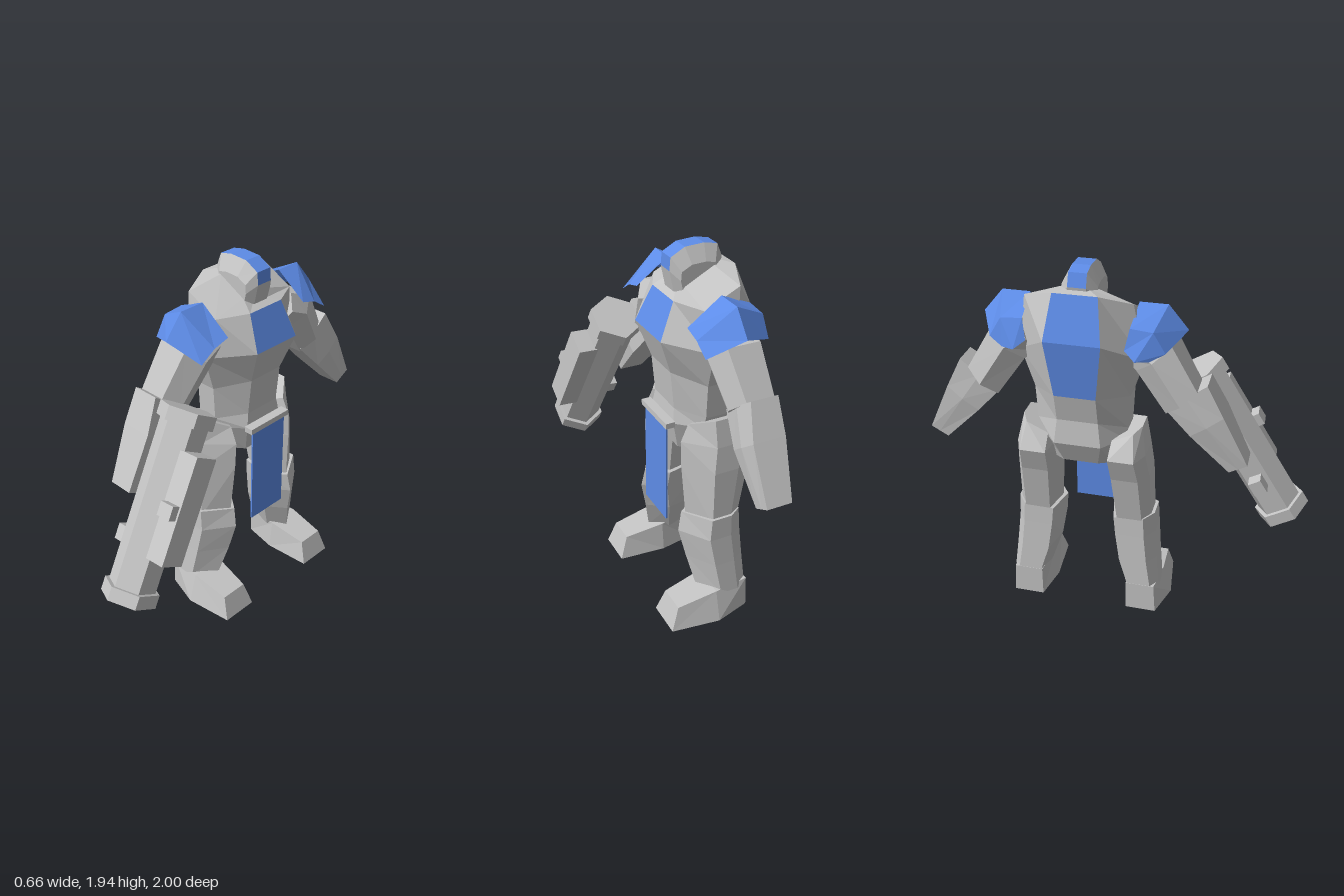
import * as THREE from 'three';

const grey = new THREE.MeshStandardMaterial({ color: 0xc4c4c4, flatShading: true });
grey.name = 'armour grey';
const blue = new THREE.MeshStandardMaterial({ color: 0x6090ee, flatShading: true, side: THREE.DoubleSide });
blue.name = 'trim blue';

// Skin a row of equal-length closed rings, cap both ends, and face it outwards.
// isBlue(ring, side) picks the quads that take the blue material.
function loft(name, rings, isBlue = () => false) {
  const tris = [[], []];
  const n = rings[0].length;
  for (let i = 0; i < rings.length - 1; i++) {
    for (let j = 0; j < n; j++) {
      const k = (j + 1) % n;
      const [a, b, c, d] = [rings[i][j], rings[i][k], rings[i + 1][k], rings[i + 1][j]];
      tris[isBlue(i, j) ? 1 : 0].push([a, b, c], [a, c, d]);
    }
  }
  const first = rings[0], last = rings[rings.length - 1];
  for (let j = 1; j < n - 1; j++) {
    tris[0].push([first[0], first[j + 1], first[j]], [last[0], last[j], last[j + 1]]);
  }
  const all = [...tris[0], ...tris[1]];
  let volume = 0;
  for (const [a, b, c] of all) {
    volume += new THREE.Vector3(...a).dot(new THREE.Vector3(...b).cross(new THREE.Vector3(...c)));
  }
  const pos = all.flatMap(([a, b, c]) => (volume > 0 ? [a, b, c] : [a, c, b])).flat();
  const geo = new THREE.BufferGeometry();
  geo.setAttribute('position', new THREE.Float32BufferAttribute(pos, 3));
  geo.computeVertexNormals();
  geo.addGroup(0, tris[0].length * 3, 0);
  if (tris[1].length) geo.addGroup(tris[0].length * 3, tris[1].length * 3, 1);
  const mesh = new THREE.Mesh(geo, [grey, blue]);
  mesh.name = name;
  return mesh;
}

function box(name, size, at, material = grey) {
  const mesh = new THREE.Mesh(new THREE.BoxGeometry(...size), material);
  mesh.name = name;
  mesh.position.set(...at);
  return mesh;
}

// Eight-sided torso ring: front, front side, back side and back corners as [x, y], with two half widths.
function torsoRing(f, sf, sb, b, hf, hs) {
  const half = [[...f, hf], [...sf, hs], [...sb, hs], [...b, hf]];
  return [...half, ...half.map(([x, y, z]) => [x, y, -z]).reverse()];
}

// Six-sided leg ring between back and front x and inner and outer z; tilt raises the outer side.
function legRing(s, y, back, front, inner, outer, tilt = 0) {
  const w = outer - inner, m = (back + front) / 2, d = (front - back) / 2;
  return [[front, 0.35], [m + d * 0.3, 1], [m - d * 0.5, 1], [back, 0.8], [back, 0.15], [m + d * 0.2, 0]]
    .map(([x, t]) => [x, y + tilt * (t - 0.5), s * (inner + w * t)]);
}

// Six-sided arm ring between an upper outer and a lower inner [y, z] point; bevel narrows the flats.
function armRing(s, [yo, zo], [yi, zi], back, front, bevel) {
  const w = front - back;
  return [[0, bevel], [0, 1 - bevel], [0.5, 1], [1, 1 - bevel], [1, bevel], [0.5, 0]]
    .map(([t, u]) => [back + w * u, yo + (yi - yo) * t, s * (zo + (zi - zo) * t)]);
}

// Shoulder plate: an open folded shell, columns running back to front.
function shoulderPlate(s) {
  const cols = [
    [[-0.28, 1.6, 0.24], [-0.31, 1.56, 0.295], [-0.28, 1.555, 0.36]],
    [[-0.25, 1.7, 0.26], [-0.25, 1.69, 0.37], [-0.25, 1.59, 0.43]],
    [[-0.09, 1.77, 0.27], [-0.09, 1.77, 0.41], [-0.09, 1.65, 0.51]],
    [[0.08, 1.645, 0.27], [0.08, 1.62, 0.36], [0.08, 1.565, 0.445]],
  ];
  const pos = [];
  for (let i = 0; i < 3; i++) {
    for (let j = 0; j < 2; j++) {
      const q = [cols[i][j], cols[i][j + 1], cols[i + 1][j + 1], cols[i + 1][j]].map(([x, y, z]) => [x, y, s * z]);
      const [a, b, c, d] = s > 0 ? q : [q[3], q[2], q[1], q[0]];
      pos.push(...a, ...b, ...c, ...a, ...c, ...d);
    }
  }
  const geo = new THREE.BufferGeometry();
  geo.setAttribute('position', new THREE.Float32BufferAttribute(pos, 3));
  geo.computeVertexNormals();
  const mesh = new THREE.Mesh(geo, blue);
  mesh.name = 'shoulderPlate';
  return mesh;
}

function limbs(s) {
  const g = new THREE.Group();
  g.name = s > 0 ? 'limbsRight' : 'limbsLeft';
  g.add(
    shoulderPlate(s),
    loft('upperArm', [
      armRing(s, [1.65, 0.3], [1.5, 0.22], -0.22, 0.02, 0.2),
      armRing(s, [1.6, 0.45], [1.46, 0.28], -0.25, 0.03, 0.2),
      armRing(s, [1.38, 0.58], [1.25, 0.43], -0.25, -0.01, 0.2),
    ]),
    loft('forearm', [
      armRing(s, [1.415, 0.625], [1.27, 0.42], -0.2, -0.04, 0.06),
      armRing(s, [1.25, 0.71], [1.13, 0.55], -0.2, -0.01, 0.06),
      armRing(s, [0.98, 0.84], [0.93, 0.75], -0.16, -0.03, 0),
    ]),
    loft('thigh', [
      legRing(s, 1.1, -0.23, 0.03, 0.14, 0.31, 0.08),
      legRing(s, 1.0, -0.31, 0.07, 0.13, 0.335),
      legRing(s, 0.86, -0.26, 0.07, 0.135, 0.35),
      legRing(s, 0.56, -0.2, 0.05, 0.155, 0.36),
    ]),
    loft('shin', [
      legRing(s, 0.59, -0.205, 0.07, 0.13, 0.375, 0.02),
      legRing(s, 0.48, -0.21, 0.09, 0.14, 0.38),
      legRing(s, 0.32, -0.22, 0.055, 0.165, 0.395),
      legRing(s, 0.14, -0.23, 0.015, 0.225, 0.415),
    ]),
    // Foot sections from heel to toe: top x, sole x, top height, top z range, sole z range
    loft('foot', [
      [-0.23, -0.23, 0.17, 0.24, 0.395, 0.24, 0.405],
      [-0.04, -0.04, 0.165, 0.225, 0.415, 0.205, 0.46],
      [0.175, 0.22, 0.125, 0.25, 0.4, 0.225, 0.425],
    ].map(([xt, xs, h, a, b, c, d]) => [[xt, h, s * a], [xt, h, s * b], [xs, 0, s * d], [xs, 0, s * c]])),
  );
  return g;
}

// Head: one side profile swept across z, lower and shorter at the cheeks, with a blue centre crest.
function head() {
  const profile = [[0.03, 1.7], [0.058, 1.83], [0.053, 1.895], [-0.02, 1.935], [-0.12, 1.94],
    [-0.19, 1.925], [-0.215, 1.86], [-0.19, 1.72]];
  const cheek = (z) => profile.map(([x, y]) => [-0.08 + (x + 0.08) * 0.72, 1.775 + (y - 1.81) * 0.68, z]);
  const ridge = (z) => profile.map(([x, y]) => [x, y, z]);
  return loft('head', [cheek(-0.088), ridge(-0.045), ridge(0.045), cheek(0.088)],
    (i, j) => i === 1 && j >= 1 && j <= 5);
}

// Heavy weapon: six-sided barrel with end collars, built upright and then tilted.
function cannon() {
  const g = new THREE.Group();
  g.name = 'cannon';
  const tube = (name, r, h, y) => {
    const mesh = new THREE.Mesh(new THREE.CylinderGeometry(r, r, h, 6), grey);
    mesh.name = name;
    mesh.position.y = y;
    g.add(mesh);
  };
  tube('barrel', 0.12, 0.9, 0);
  for (const s of [-1, 1]) tube('collar', 0.142, 0.07, s * 0.452);
  g.add(
    box('sideHousing', [0.11, 0.54, 0.14], [0.14, 0.035, 0]),
    box('sideKnob', [0.08, 0.07, 0.06], [0.145, 0.025, 0.085]),
    box('grip', [0.07, 0.08, 0.07], [-0.135, -0.2, 0]),
  );
  const y = new THREE.Vector3(-0.07, 0.83, -0.5).normalize();
  const z = new THREE.Vector3(1, 0, 0).cross(y).normalize();
  const x = y.clone().cross(z);
  g.quaternion.setFromRotationMatrix(new THREE.Matrix4().makeBasis(x, y, z));
  g.position.set(0.115, 0.955, 0.624);
  return g;
}

export function createModel() {
  const model = new THREE.Group();
  model.name = 'armouredTrooper';
  const body = new THREE.Group();
  body.name = 'body';
  body.position.z = -0.16;

  // Pelvis up to the collar; blue upper chest and back panels
  body.add(loft('torso', [
    torsoRing([0.03, 0.9], [-0.05, 0.9], [-0.16, 0.9], [-0.22, 0.92], 0.09, 0.15),
    torsoRing([0.07, 1.06], [-0.04, 1.06], [-0.17, 1.06], [-0.28, 1.05], 0.12, 0.22),
    torsoRing([0.06, 1.14], [-0.05, 1.12], [-0.16, 1.12], [-0.265, 1.18], 0.105, 0.235),
    torsoRing([0.08, 1.34], [-0.05, 1.3], [-0.16, 1.3], [-0.3, 1.33], 0.105, 0.245),
    torsoRing([0.15, 1.53], [-0.04, 1.5], [-0.16, 1.5], [-0.33, 1.625], 0.14, 0.31),
    torsoRing([0.07, 1.71], [-0.01, 1.705], [-0.19, 1.795], [-0.25, 1.84], 0.11, 0.265),
    torsoRing([0.03, 1.73], [0, 1.76], [-0.15, 1.84], [-0.19, 1.85], 0.05, 0.085),
  ], (i, j) => (i === 4 && j === 7) || ((i === 3 || i === 4) && j === 3)));

  body.add(
    head(),
    box('beltBar', [0.05, 0.03, 0.28], [0.095, 1.065, 0]),
    box('loincloth', [0.009, 0.565, 0.24], [0.105, 0.772, 0], blue),
    limbs(1),
    limbs(-1),
  );
  model.add(body, cannon());
  return model;
}
